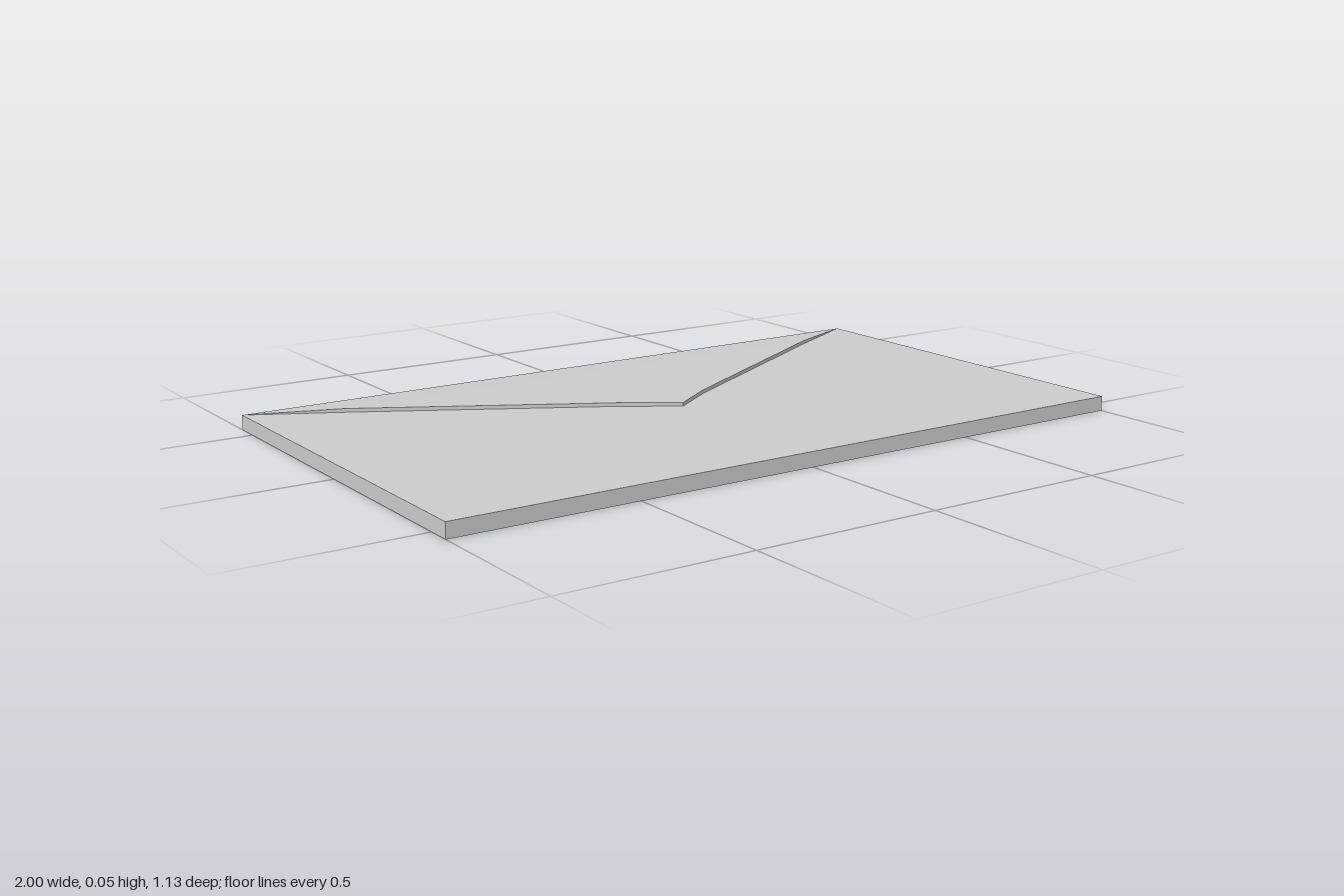
import * as THREE from 'three';

const BODY = { width: 2, height: 0.04, depth: 1.13 };

// Flap rows from the hinge to the tip: [z, half width, top height]
const FLAP_ROWS = [
  [-0.565, 1, 0.04],
  [-0.44, 0.765, 0.05],
  [-0.08, 0.13, 0.05],
  [0.01, 0, 0.05],
];

function flapGeometry() {
  const positions = [];
  const quad = (a, b, c, d) => positions.push(...a, ...b, ...c, ...a, ...c, ...d);
  for (let i = 0; i < FLAP_ROWS.length - 1; i++) {
    const [z0, w0, y0] = FLAP_ROWS[i];
    const [z1, w1, y1] = FLAP_ROWS[i + 1];
    const base = BODY.height;
    // Top face
    quad([-w0, y0, z0], [-w1, y1, z1], [w1, y1, z1], [w0, y0, z0]);
    // Thin edges on the left and right
    quad([w0, base, z0], [w0, y0, z0], [w1, y1, z1], [w1, base, z1]);
    quad([-w0, base, z0], [-w1, base, z1], [-w1, y1, z1], [-w0, y0, z0]);
  }
  const geometry = new THREE.BufferGeometry();
  geometry.setAttribute('position', new THREE.Float32BufferAttribute(positions, 3));
  geometry.computeVertexNormals();
  return geometry;
}

export function createModel() {
  const group = new THREE.Group();
  group.name = 'envelope';
  const material = new THREE.MeshStandardMaterial({ color: 0xcccccc, flatShading: true });

  // Flat rectangular body
  const body = new THREE.Mesh(new THREE.BoxGeometry(BODY.width, BODY.height, BODY.depth), material);
  body.name = 'envelopeBody';
  body.position.y = BODY.height / 2;
  group.add(body);

  // Raised triangular flap, tapering down to the back edge
  const flap = new THREE.Mesh(flapGeometry(), material);
  flap.name = 'envelopeFlap';
  group.add(flap);

  return group;
}
